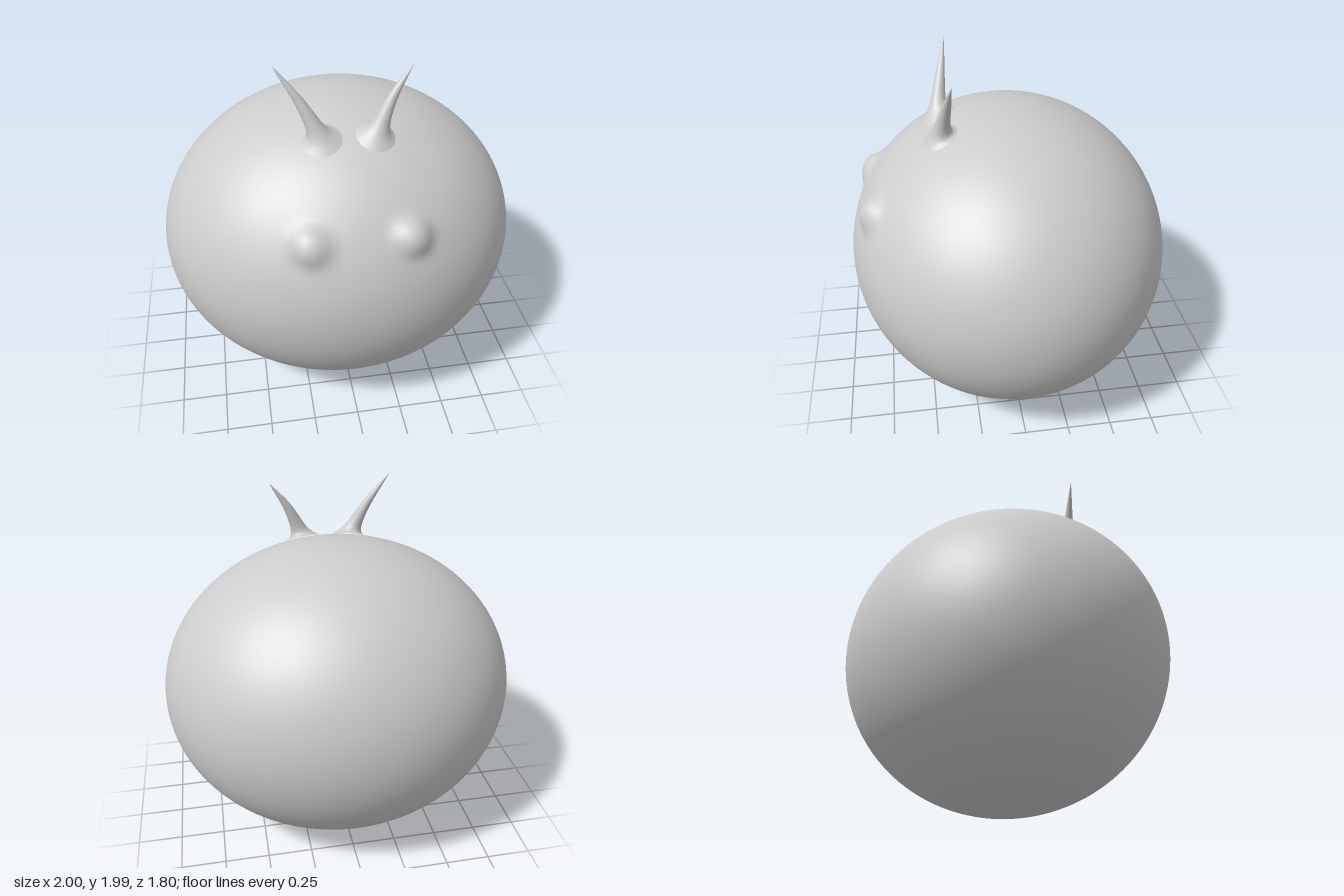
import * as THREE from 'three';
import { mergeVertices } from 'three/addons/utils/BufferGeometryUtils.js';

const V = (x, y, z) => new THREE.Vector3(x, y, z);
const RADII = V(1, 0.85, 0.9);
const CENTRE_Y = 0.85;

// Rounded body with two soft eye swellings pushed out along the surface normal
function bodyGeometry() {
  let geo = new THREE.SphereGeometry(1, 160, 120);
  geo.deleteAttribute('uv');
  geo.deleteAttribute('normal');
  geo = mergeVertices(geo, 1e-5);
  const eyes = [V(-0.25, 1.26, 0.75), V(0.25, 1.26, 0.75)];
  const pos = geo.attributes.position;
  const p = V(0, 0, 0);
  for (let i = 0; i < pos.count; i++) {
    p.fromBufferAttribute(pos, i);
    const n = p.clone().divide(RADII).normalize();
    p.multiply(RADII);
    p.y += CENTRE_Y;
    let push = 0;
    for (const eye of eyes) {
      const d = p.distanceTo(eye) / 0.088;
      push += 0.055 * Math.exp(-Math.pow(d, 3));
    }
    p.addScaledVector(n, push);
    pos.setXYZ(i, p.x, p.y, p.z);
  }
  geo.computeVertexNormals();
  return geo;
}

// Tapered horn: rings turn from the body's surface plane to the horn's axis
function hornGeometry(base, middle, tip) {
  const sides = 28, steps = 24;
  const curve = new THREE.CatmullRomCurve3([base, middle, tip]);
  const rootNormal = base.clone().sub(V(0, CENTRE_Y, 0)).divide(RADII).divide(RADII).normalize();
  const verts = [], index = [];
  for (let i = 0; i <= steps; i++) {
    const t = i / steps;
    const c = curve.getPoint(t);
    const axis = rootNormal.clone().lerp(curve.getTangent(t), Math.min(1, t * 3)).normalize();
    const side = V(0, 0, 1).cross(axis).normalize();
    const front = axis.clone().cross(side);
    const r = 0.046 * Math.pow(1 - t, 0.9) + 0.055 * Math.exp(-t * 13) + 0.0005;
    for (let j = 0; j < sides; j++) {
      const a = (j / sides) * Math.PI * 2;
      const v = c.clone().addScaledVector(side, -Math.cos(a) * r).addScaledVector(front, Math.sin(a) * r);
      verts.push(v.x, v.y, v.z);
      if (i < steps) {
        const k = (j + 1) % sides;
        const p = i * sides + j, q = i * sides + k;
        index.push(p, q, p + sides, q, q + sides, p + sides);
      }
    }
  }
  const geo = new THREE.BufferGeometry();
  geo.setAttribute('position', new THREE.Float32BufferAttribute(verts, 3));
  geo.setIndex(index);
  // Keep faces outward whichever way the ring runs
  const a = V(...verts.slice(0, 3)), b = V(...verts.slice(3, 6)), d = V(...verts.slice(sides * 3, sides * 3 + 3));
  const out = b.sub(a).cross(d.sub(a)).dot(a.clone().sub(base));
  if (out < 0) geo.setIndex(index.reverse());
  geo.computeVertexNormals();
  return geo;
}

export function createModel() {
  const group = new THREE.Group();
  const grey = new THREE.MeshStandardMaterial({ color: 0xcccccc });
  grey.name = 'grey';

  const add = (name, geo) => {
    const mesh = new THREE.Mesh(geo, grey);
    mesh.name = name;
    group.add(mesh);
  };

  add('body', bodyGeometry());
  // The horns lean outwards, and the right one is a little longer
  add('rightHorn', hornGeometry(V(-0.135, 1.615, 0.37), V(-0.235, 1.81, 0.335), V(-0.357, 1.99, 0.3)));
  add('leftHorn', hornGeometry(V(0.135, 1.615, 0.37), V(0.222, 1.81, 0.335), V(0.322, 1.957, 0.31)));
  return group;
}
